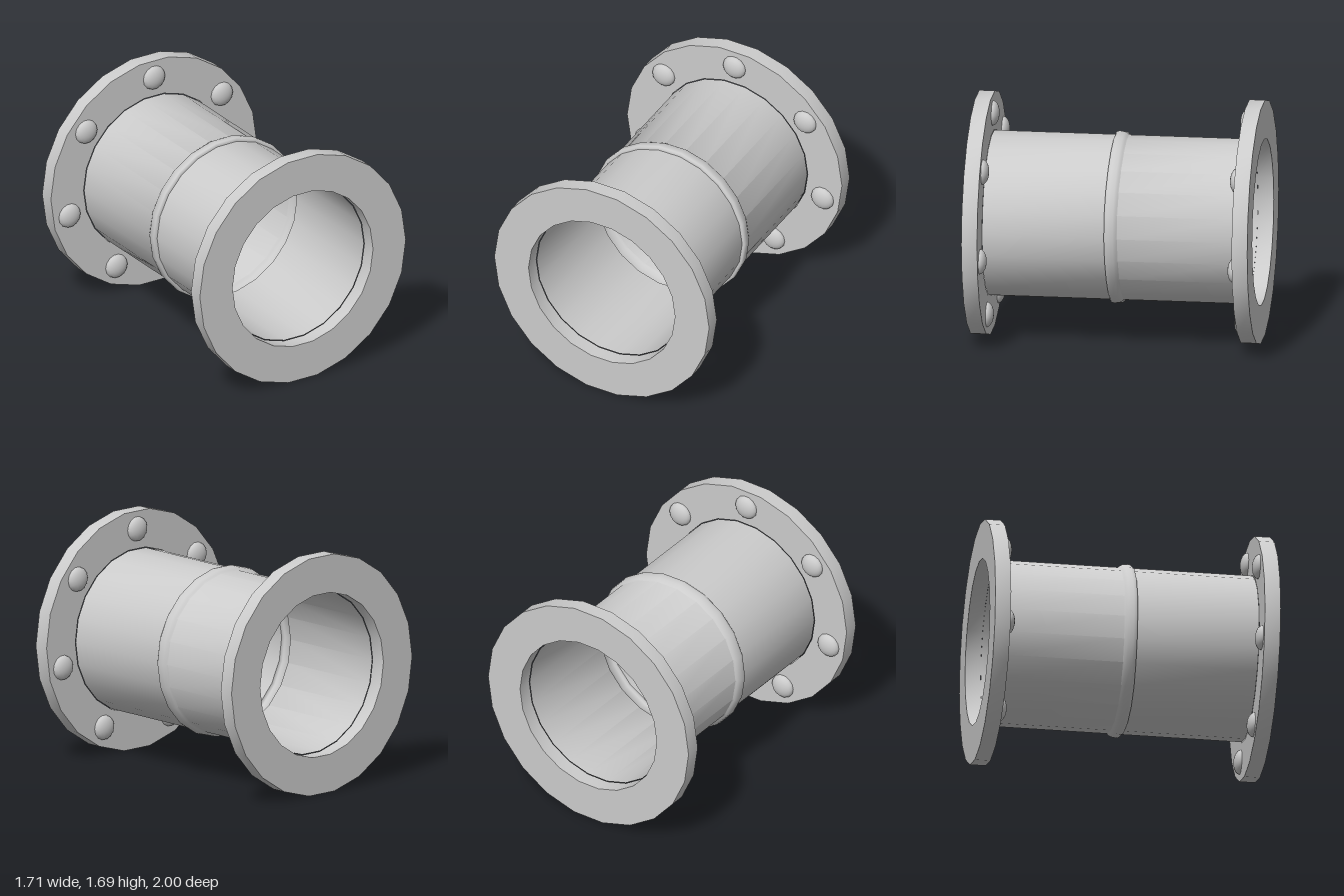
import * as THREE from 'three';
import { toCreasedNormals } from 'three/addons/utils/BufferGeometryUtils.js';

const SIDES = 22;
const CENTER_Y = 0.845;

// Turn a [radius, z] profile around the z axis, with a corner on the +x side
function turned(profile) {
  const points = profile.map(([r, z]) => new THREE.Vector2(r, z));
  return new THREE.LatheGeometry(points, SIDES, Math.PI / 2).rotateX(Math.PI / 2);
}

export function createModel() {
  const model = new THREE.Group();
  model.name = 'flangedPipe';
  const metal = new THREE.MeshStandardMaterial({ color: 0xcccccc });
  const sheet = new THREE.MeshStandardMaterial({ color: 0xcccccc, side: THREE.DoubleSide });

  const add = (name, geometry, material, parent = model) => {
    const mesh = new THREE.Mesh(geometry, material);
    mesh.name = name;
    parent.add(mesh);
    return mesh;
  };

  // Thin pipe wall with a raised weld bead around the middle
  const pipe = turned([
    [0.578, -0.89], [0.578, -0.053], [0.588, -0.045], [0.599, -0.025],
    [0.604, 0.01], [0.602, 0.028], [0.594, 0.037], [0.578, 0.037], [0.578, 0.89],
  ]);
  // The bead wanders slightly along the pipe
  const pos = pipe.attributes.position;
  for (let i = 0; i < pos.count; i++) {
    const z = pos.getZ(i);
    if (Math.abs(z) > 0.1) continue;
    const a = Math.atan2(pos.getY(i), pos.getX(i));
    pos.setZ(i, z + 0.004 * Math.sin(3 * a + 1) - 0.003 * Math.cos(a));
  }
  add('pipeWithWeld', toCreasedNormals(pipe, 0.9), sheet).position.y = CENTER_Y;

  // Flange ring, its closed section running anticlockwise
  const ring = toCreasedNormals(turned([
    [0.582, -0.055], [0.853, -0.055], [0.853, 0.055], [0.582, 0.055], [0.582, -0.055],
  ]), 0.7);

  // Domed bolt head pointing along +z
  const dome = new THREE.SphereGeometry(1, 14, 5, 0, Math.PI * 2, 0, Math.PI / 2)
    .scale(0.088, 0.047, 0.088).rotateX(Math.PI / 2);

  // One flange at each end, with seven bolts on the inner face
  for (const [end, side] of [['front', 1], ['back', -1]]) {
    const flange = new THREE.Group();
    flange.name = end + 'Flange';
    flange.position.set(0, CENTER_Y, side * 0.945);
    add(end + 'FlangeRing', ring, metal, flange);
    for (let i = 0; i < 7; i++) {
      const a = Math.PI / 2 + (i * Math.PI * 2) / 7;
      const bolt = add(end + 'Bolt', dome, metal, flange);
      bolt.position.set(0.718 * Math.cos(a), 0.718 * Math.sin(a), -side * 0.055);
      if (side > 0) bolt.rotation.y = Math.PI;
    }
    model.add(flange);
  }

  return model;
}
